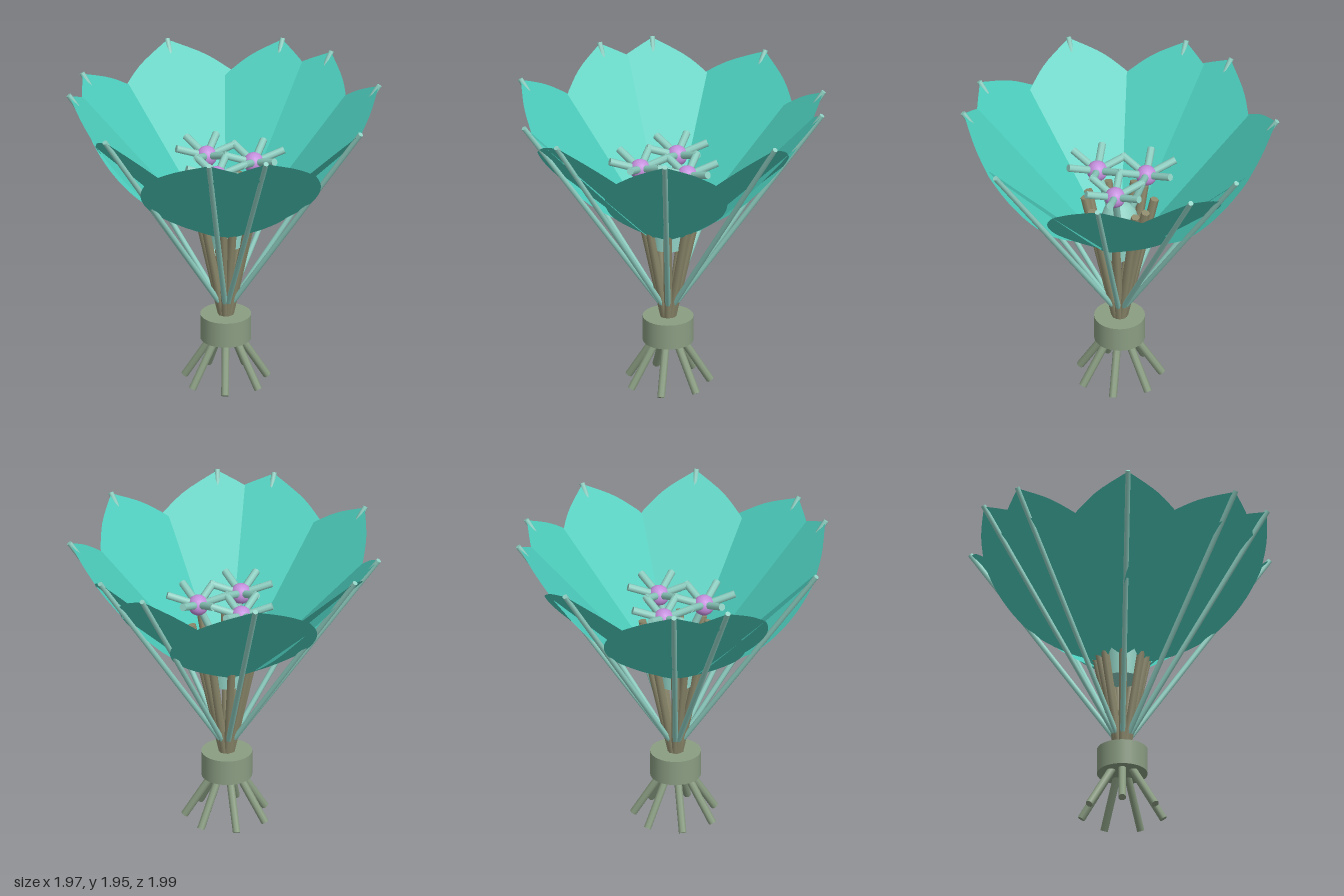
import * as THREE from 'three';

const mat = (name, color, side = THREE.FrontSide) => {
  const m = new THREE.MeshStandardMaterial({ color, side });
  m.name = name;
  return m;
};

export function createModel() {
  const root = new THREE.Group();
  root.name = 'flower';
  const flower = new THREE.Group();
  flower.name = 'flowerParts';
  flower.position.x = -0.02;
  root.add(flower);

  const petalTeal = mat('petalTeal', 0x4bcaba, THREE.DoubleSide);
  const paleTeal = mat('paleTeal', 0x8fcfc2);
  const sage = mat('sageGreen', 0x8a9d82);
  const stemOlive = mat('stemOlive', 0x8f8b6e);
  const lilac = mat('lilac', 0xc48fdc);

  const add = (name, geo, material) => {
    const mesh = new THREE.Mesh(geo, material);
    mesh.name = name;
    flower.add(mesh);
    return mesh;
  };
  // Point at a compass angle (degrees from +x towards +z), radius and height
  const polar = (deg, r, y) => {
    const a = THREE.MathUtils.degToRad(deg);
    return new THREE.Vector3(Math.cos(a) * r, y, Math.sin(a) * r);
  };
  // Straight rod between two points
  const rod = (name, a, b, radius, material, sides = 8) => {
    const d = b.clone().sub(a);
    const mesh = add(name, new THREE.CylinderGeometry(radius, radius, d.length(), sides), material);
    mesh.position.copy(a).addScaledVector(d, 0.5);
    mesh.quaternion.setFromUnitVectors(new THREE.Vector3(0, 1, 0), d.normalize());
  };

  // Leaf outline: fraction of length, fraction of half width
  const profile = [[0.05, 0.22], [0.15, 0.55], [0.3, 0.87], [0.45, 1], [0.6, 0.99],
    [0.74, 0.86], [0.81, 0.71], [0.9, 0.44]];
  const base = { r: 0.15, y: 1.05 };
  const tip = { r: 0.985, y: 1.935 };
  const length = Math.hypot(tip.r - base.r, tip.y - base.y);
  const lean = Math.atan2(tip.y - base.y, tip.r - base.r);
  const petalGeometry = (halfWidth) => {
    const side = (s) => profile.map(([t, w]) => new THREE.Vector2(s * w * halfWidth, t * length));
    const shape = new THREE.Shape();
    shape.moveTo(0, 0);
    shape.splineThru([...side(1), new THREE.Vector2(0, length)]);
    shape.splineThru([...side(-1).reverse(), new THREE.Vector2(0, 0)]);
    // Lay the blade along +z, tilted upwards
    return new THREE.ShapeGeometry(shape, 3).rotateX(Math.PI / 2).rotateX(-lean)
      .translate(0, base.y, base.r);
  };

  // Ten petals, each with a thin support rod and a thicker stem: [angle, half width]
  const petals = [[-1, 0.37], [43, 0.38], [87, 0.45], [108, 0.47], [152, 0.4],
    [196, 0.39], [216, 0.44], [260, 0.46], [303, 0.37], [324, 0.38]];
  for (const [deg, halfWidth] of petals) {
    const petal = add('petal', petalGeometry(halfWidth), petalTeal);
    petal.rotation.y = Math.PI / 2 - THREE.MathUtils.degToRad(deg);
    rod('petalRod', polar(deg, 0, 0.48), polar(deg, 0.99, 1.94), 0.017, paleTeal);
    rod('stem', polar(deg, 0, 0.35), polar(deg, 0.22, 1.35), 0.028, stemOlive, 6);
  }

  // Binding band and the splayed stem ends below it
  const band = add('band', new THREE.CylinderGeometry(0.16, 0.16, 0.165, 32), sage);
  band.position.y = 0.382;
  for (let i = 0; i < 7; i++) {
    rod('stemEnd', polar(i * 360 / 7, 0, 0.44), polar(i * 360 / 7, 0.265, 0.014), 0.025, sage);
  }

  // Round core in the heart of the flower
  const core = [[0, 0.95], [0.115, 0.95], [0.115, 0.95], [0.115, 1.22], [0.1, 1.27],
    [0.06, 1.31], [0, 1.33]].map(([r, y]) => new THREE.Vector2(r, y));
  add('core', new THREE.LatheGeometry(core, 24), paleTeal);

  // Three pistils, each a ball on a stalk with six rising stamens
  for (let i = 0; i < 3; i++) {
    const c = polar(i * 120, 0.18, 1.49);
    rod('pistilStalk', polar(i * 120, 0.05, 1.2), c, 0.023, paleTeal);
    const ball = add('pistilBall', new THREE.SphereGeometry(0.066, 16, 12), lilac);
    ball.position.copy(c);
    for (let k = 0; k < 6; k++) {
      rod('stamen', c, c.clone().add(polar(k * 60, 0.195, 0.07)), 0.024, paleTeal);
    }
  }
  return root;
}
